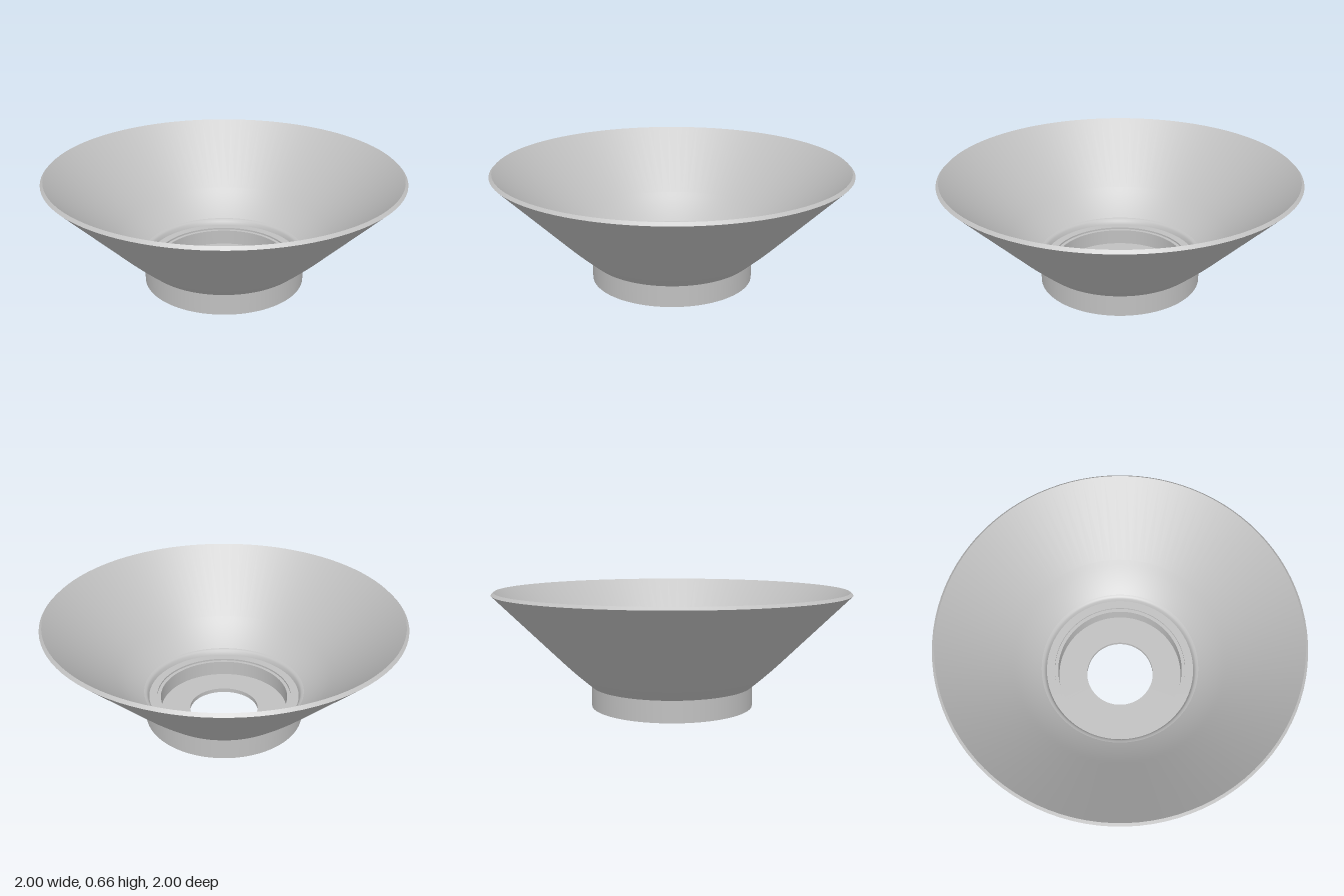
import * as THREE from 'three';

export function createModel() {
  const group = new THREE.Group();
  group.name = 'flaredBowl';
  const grey = new THREE.MeshStandardMaterial({ color: 0xc0c0c0 });
  grey.name = 'plain grey';

  // Each run of [radius, height] points is smooth; edges between runs stay sharp.
  function turn(name, ...runs) {
    const part = new THREE.Group();
    part.name = name;
    runs.forEach((run, i) => {
      const points = run.map(([r, y]) => new THREE.Vector2(r, y));
      const mesh = new THREE.Mesh(new THREE.LatheGeometry(points, 96), grey);
      mesh.name = name + 'Surface' + (i + 1);
      part.add(mesh);
    });
    group.add(part);
  }

  // Rounded lower part of a flared wall, from its foot to where the cone starts
  function curve(foot, control, top) {
    const v = [foot, control, top].map(([r, y]) => new THREE.Vector2(r, y));
    return new THREE.QuadraticBezierCurve(...v).getPoints(8).map((p) => [p.x, p.y]);
  }

  // Foot: flat underside and upright collar
  turn('footRing', [[0.2, 0], [0.46, 0]], [[0.46, 0], [0.46, 0.12]]);

  // Outer flare
  const outer = curve([0.46, 0.12], [0.555, 0.2], [0.63, 0.275]);
  turn('outerFlare', [...outer, [0.65, 0.295], [1, 0.645]]);

  // Bevelled rim, square to the wall
  turn('rim', [[1, 0.645], [0.985, 0.66]]);

  // Inner flare, running down to the seat
  const inner = curve([0.465, 0.16], [0.54, 0.215], [0.61, 0.285]);
  turn('innerFlare', [[0.985, 0.66], [0.63, 0.305], ...inner.reverse()]);

  // Stepped seat inside the collar
  turn('seat',
    [[0.465, 0.16], [0.452, 0.155], [0.443, 0.145], [0.437, 0.125]],
    [[0.437, 0.125], [0.39, 0.125]],
    [[0.39, 0.125], [0.39, 0.115]],
    [[0.39, 0.115], [0.37, 0.115]]);

  // Well with a thin floor and a round hole
  turn('well',
    [[0.37, 0.115], [0.37, 0.025]],
    [[0.37, 0.025], [0.2, 0.025]],
    [[0.2, 0.025], [0.2, 0]]);

  return group;
}
